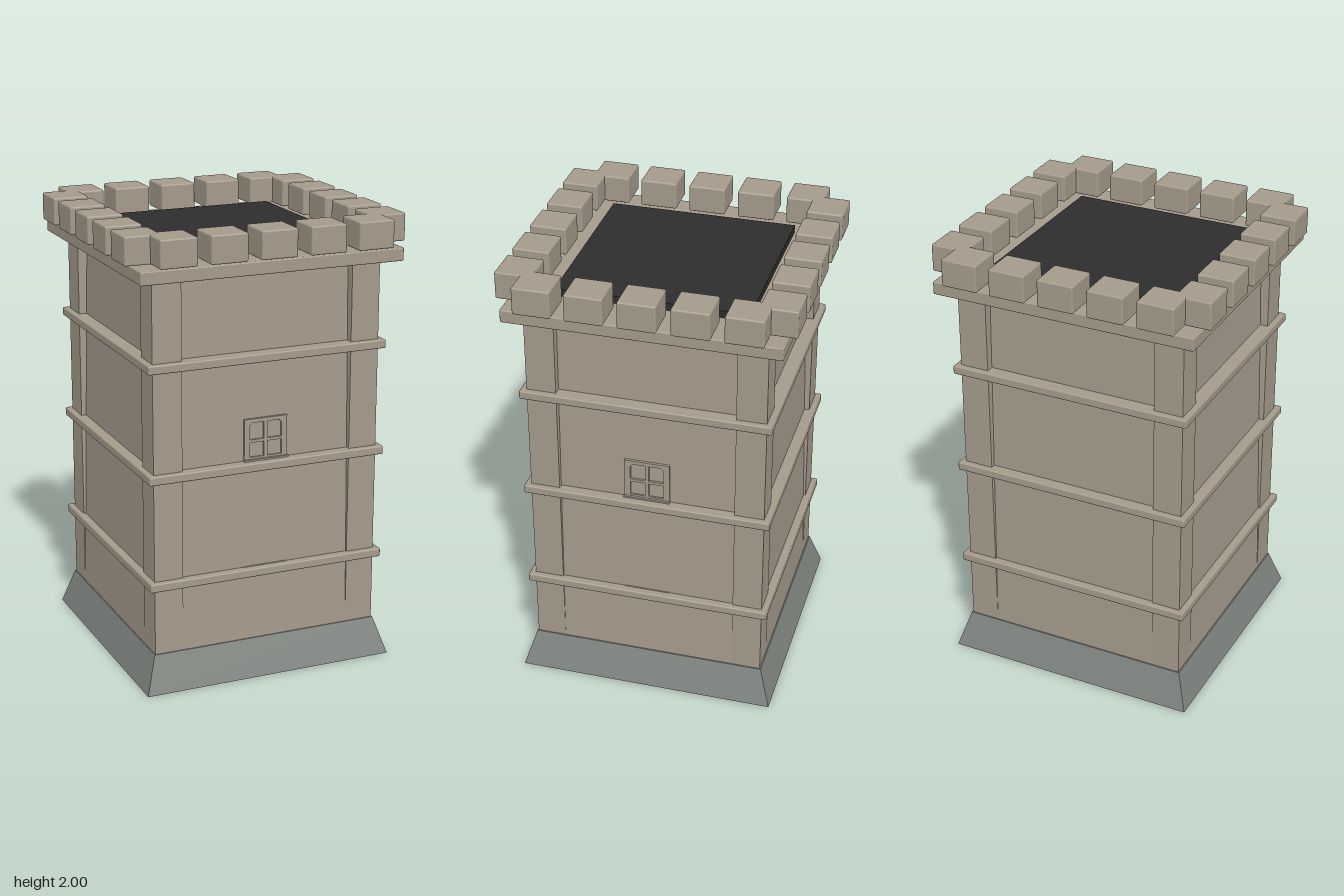
import * as THREE from 'three';
import { RoundedBoxGeometry } from 'three/addons/geometries/RoundedBoxGeometry.js';

export function createModel() {
  const tower = new THREE.Group();
  tower.name = 'tower';

  const mat = (name, color) => {
    const m = new THREE.MeshStandardMaterial({ color });
    m.name = name;
    return m;
  };
  const stone = mat('stone', 0xa59a8b);
  const footing = mat('footing stone', 0x7f8580);
  const dark = mat('dark roof', 0x2d2d2d);

  const add = (parent, name, geometry, material, x = 0, y = 0, z = 0) => {
    const mesh = new THREE.Mesh(geometry, material);
    mesh.name = name;
    mesh.position.set(x, y, z);
    parent.add(mesh);
    return mesh;
  };

  // Square tapering block, given half widths and heights
  const frustum = (halfTop, halfBottom, y0, y1) => {
    const r = Math.SQRT2;
    const g = new THREE.CylinderGeometry(halfTop * r, halfBottom * r, y1 - y0, 4)
      .rotateY(Math.PI / 4)
      .translate(0, (y0 + y1) / 2, 0)
      .toNonIndexed();
    g.computeVertexNormals();
    return g;
  };
  const slab = (half, h) => new RoundedBoxGeometry(half * 2, h, half * 2, 2, 0.006);

  // Splayed footing and the inward-leaning walls
  add(tower, 'footing', frustum(0.525, 0.577, 0, 0.165), footing);
  add(tower, 'walls', frustum(0.475, 0.52, 0.165, 1.83), stone);

  // Upright corner piers
  for (const sx of [-1, 1]) {
    for (const sz of [-1, 1]) {
      add(tower, 'cornerPier', new THREE.BoxGeometry(0.13, 1.65, 0.13), stone,
        sx * 0.455, 0.99, sz * 0.455);
    }
  }

  // String courses and parapet ledge
  for (const y of [0.48, 0.96, 1.44]) add(tower, 'stringCourse', slab(0.546, 0.038), stone, 0, y);
  add(tower, 'parapetLedge', slab(0.594, 0.058), stone, 0, 1.838);

  // Roof deck
  add(tower, 'roofDeck', new THREE.BoxGeometry(0.83, 0.06, 0.83), dark, 0, 1.87);

  // Five merlons along each side
  const merlon = new RoundedBoxGeometry(0.163, 0.122, 0.161, 2, 0.008);
  for (let side = 0; side < 4; side++) {
    const row = new THREE.Group();
    row.name = 'merlonRow';
    row.rotation.y = side * Math.PI / 2;
    for (const x of [-0.443, -0.2225, 0, 0.2225, 0.443]) {
      add(row, 'merlon', merlon, stone, x, 1.939, 0.5545);
    }
    tower.add(row);
  }

  // Window frame with four panes, the upper ones with a clipped outer corner
  const frame = new THREE.Shape([[-0.1, 0.97], [0.1, 0.97], [0.1, 1.165], [-0.1, 1.165]]
    .map(([x, y]) => new THREE.Vector2(x, y)));
  for (const s of [-1, 1]) {
    const panes = [
      [[0.008, 0.995], [0.074, 0.995], [0.074, 1.06], [0.008, 1.06]],
      [[0.008, 1.073], [0.074, 1.073], [0.074, 1.135], [0.062, 1.148], [0.008, 1.148]],
    ];
    for (const p of panes) {
      frame.holes.push(new THREE.Path(p.map(([x, y]) => new THREE.Vector2(s * x, y))));
    }
  }
  const frameGeometry = new THREE.ExtrudeGeometry(frame, { depth: 0.04, bevelEnabled: false });

  // Windows on the front and the left side, with sills on the two lower courses
  for (const turn of [0, Math.PI / 2]) {
    const bay = new THREE.Group();
    bay.name = 'windowBay';
    bay.rotation.y = turn;
    add(bay, 'windowFrame', frameGeometry, stone, 0, 0, 0.465);
    for (const y of [0.49, 0.975]) {
      add(bay, 'windowSill', new THREE.BoxGeometry(0.205, 0.022, 0.04), stone, 0, y, 0.495);
    }
    tower.add(bay);
  }

  return tower;
}
